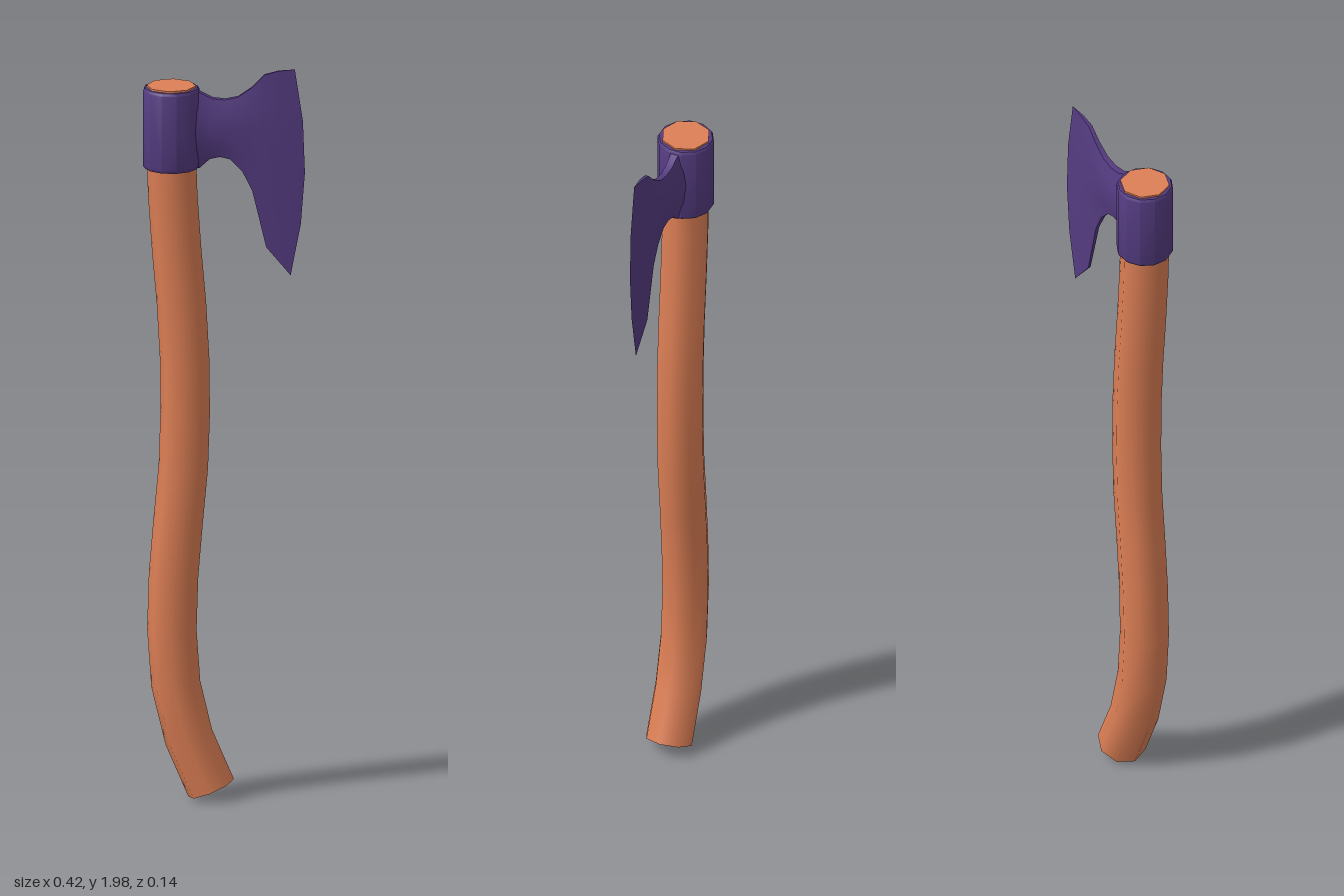
import * as THREE from 'three';
import { toCreasedNormals } from 'three/addons/utils/BufferGeometryUtils.js';

const wood = new THREE.MeshStandardMaterial({ color: 0xdd7f55 });
const metal = new THREE.MeshStandardMaterial({ color: 0x553c82 });
const AXIS_X = -0.142; // centre of the head's socket

function named(name, geometry, material) {
  const mesh = new THREE.Mesh(geometry, material);
  mesh.name = name;
  return mesh;
}

// Curved eight-sided haft with flat end caps
function buildHandle() {
  const radius = 0.065;
  const group = new THREE.Group();
  group.name = 'handle';
  const curve = new THREE.CatmullRomCurve3([
    [-0.037, 0.042], [-0.103, 0.2], [-0.135, 0.36], [-0.14, 0.52], [-0.13, 0.7], [-0.111, 0.9],
    [-0.105, 1.1], [-0.111, 1.3], [-0.129, 1.52], [-0.142, 1.74], [AXIS_X, 1.95],
  ].map(([x, y]) => new THREE.Vector3(x, y, 0)));
  group.add(named('haft', new THREE.TubeGeometry(curve, 13, radius, 8), wood));
  for (const [name, t, sign] of [['buttCap', 0, -1], ['topCap', 1, 1]]) {
    const cap = named(name, new THREE.CircleGeometry(radius, 8), wood);
    const end = curve.getPointAt(t);
    cap.position.copy(end);
    cap.lookAt(end.clone().addScaledVector(curve.getTangentAt(t), sign));
    group.add(cap);
  }
  return group;
}

// Twelve-sided hollow collar with small bevels
function buildSocket() {
  const profile = [
    [0.06, 1.728], [0.071, 1.728], [0.075, 1.735], [0.075, 1.938], [0.071, 1.945], [0.06, 1.945], [0.06, 1.728],
  ].map(([r, y]) => new THREE.Vector2(r, y));
  const socket = named('socket', toCreasedNormals(new THREE.LatheGeometry(profile, 12, Math.PI / 12), 0.7), metal);
  socket.position.x = AXIS_X;
  return socket;
}

// Blade lofted through cross-sections from the socket to the cutting edge
function buildBlade() {
  // top x, top y, bottom x, bottom y, half thickness, forward bulge
  const sections = [
    [-0.09, 1.942, -0.09, 1.73, 0.038, 0],
    [-0.066, 1.934, -0.066, 1.73, 0.026, 0],
    [-0.034, 1.918, -0.04, 1.754, 0.023, 0],
    [0, 1.915, -0.013, 1.76, 0.021, 0],
    [0.034, 1.923, 0.013, 1.754, 0.019, 0],
    [0.071, 1.95, 0.045, 1.722, 0.016, 0.006],
    [0.103, 1.984, 0.071, 1.67, 0.013, 0.014],
    [0.14, 1.995, 0.108, 1.516, 0.009, 0.024],
    [0.183, 2.0, 0.172, 1.44, 0, 0.032],
  ];
  const fullness = [0.4, 0.85, 1, 0.85, 0.4];
  const rows = fullness.length, ring = rows * 2;
  const positions = [], index = [];
  sections.forEach(([tx, ty, bx, by, half, bulge], i) => {
    for (let j = 0; j < ring; j++) {
      const front = j < rows;
      const row = front ? j : ring - 1 - j; // down the front, up the back
      const v = row / (rows - 1);
      positions.push(
        THREE.MathUtils.lerp(tx, bx, v) + 4 * v * (1 - v) * bulge,
        THREE.MathUtils.lerp(ty, by, v),
        half * fullness[row] * (front ? 1 : -1),
      );
      if (i < sections.length - 1) {
        const a = i * ring + j, b = i * ring + (j + 1) % ring;
        index.push(a, b, b + ring, a, b + ring, a + ring);
      }
    }
  });
  const geometry = new THREE.BufferGeometry();
  geometry.setAttribute('position', new THREE.Float32BufferAttribute(positions, 3));
  geometry.setIndex(index);
  return named('blade', toCreasedNormals(geometry, 0.6), metal);
}

export function createModel() {
  const model = new THREE.Group();
  model.name = 'axe';
  const head = new THREE.Group();
  head.name = 'axeHead';
  head.add(buildSocket(), buildBlade());
  model.add(buildHandle(), head);
  return model;
}
